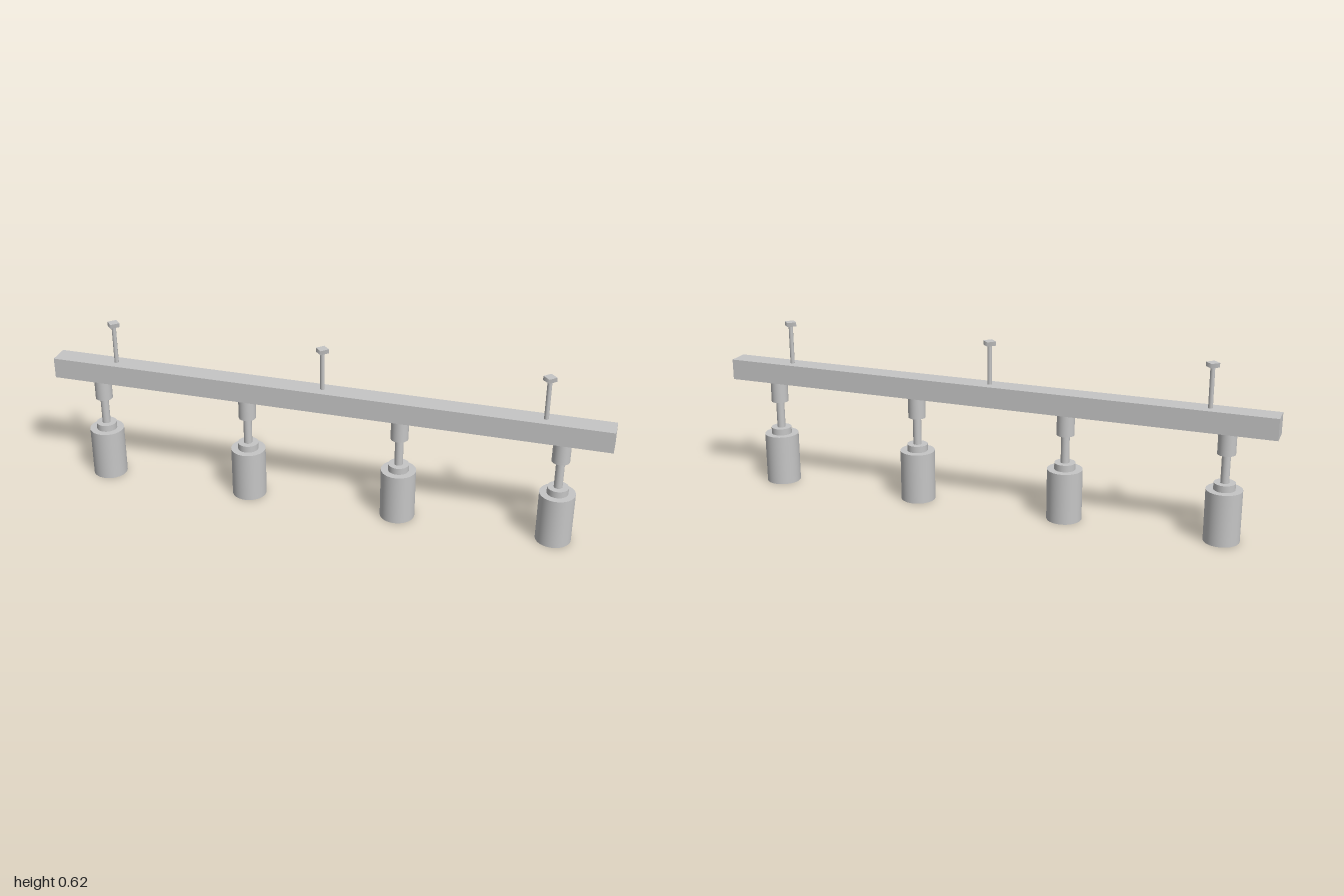
import * as THREE from 'three';

const metal = new THREE.MeshStandardMaterial({ color: 0xc6c6c6 });
metal.name = 'light grey metal';

function add(parent, name, geometry, x = 0, y = 0, z = 0) {
  const mesh = new THREE.Mesh(geometry, metal);
  mesh.name = name;
  mesh.position.set(x, y, z);
  parent.add(mesh);
  return mesh;
}

// Upright cylinder between two heights
function post(parent, name, radius, y0, y1, sides = 32) {
  return add(parent, name, new THREE.CylinderGeometry(radius, radius, y1 - y0, sides), 0, (y0 + y1) / 2);
}

// Solid of revolution; each segment gets its own lathe so the edges stay sharp
function turned(parent, name, points) {
  const group = new THREE.Group();
  group.name = name;
  for (let i = 0; i < points.length - 1; i++) {
    const pair = [points[i], points[i + 1]].map(([r, y]) => new THREE.Vector2(r, y));
    add(group, name + 'Face', new THREE.LatheGeometry(pair, 40));
  }
  parent.add(group);
}

function makeRail() {
  const rail = new THREE.Group();
  rail.name = 'rail';
  const bottom = 0.387, top = 0.462, half = 0.038, slotTop = 0.407;
  // Solid upper body
  add(rail, 'railBody', new THREE.BoxGeometry(2, top - slotTop, half * 2), 0, (top + slotTop) / 2);
  // Lower layer with a long slot in its underside
  const outline = new THREE.Shape([[-1, -half], [1, -half], [1, half], [-1, half]].map(p => new THREE.Vector2(...p)));
  outline.holes.push(new THREE.Path([[-0.93, -0.015], [-0.93, 0.015], [0.93, 0.015], [0.93, -0.015]].map(p => new THREE.Vector2(...p))));
  const lower = new THREE.ExtrudeGeometry(outline, { depth: slotTop - bottom, bevelEnabled: false });
  lower.rotateX(-Math.PI / 2);
  add(rail, 'slottedUnderside', lower, 0, bottom);
  return rail;
}

function makeLamp(x) {
  const lamp = new THREE.Group();
  lamp.name = 'spotLamp';
  lamp.position.x = x;
  post(lamp, 'railConnector', 0.031, 0.31, 0.388);
  post(lamp, 'stem', 0.015, 0.209, 0.31, 20);
  post(lamp, 'collar', 0.037, 0.185, 0.209);
  // Hollow can, open below
  turned(lamp, 'lampShade', [
    [0, 0.178], [0.056, 0.178], [0.056, 0], [0.062, 0], [0.062, 0.185], [0, 0.185],
  ].map(([r, y]) => [r, y]));
  // Bulb and its socket
  add(lamp, 'bulb', new THREE.SphereGeometry(0.034, 24, 16), 0, 0.046);
  post(lamp, 'bulbSocket', 0.02, 0.07, 0.18, 20);
  return lamp;
}

function makeHanger(x) {
  const hanger = new THREE.Group();
  hanger.name = 'ceilingHanger';
  hanger.position.x = x;
  post(hanger, 'hangerRod', 0.008, 0.46, 0.603, 8);
  // Square cap turned corner-on
  post(hanger, 'hangerCap', 0.023, 0.602, 0.617, 4);
  return hanger;
}

export function createModel() {
  const model = new THREE.Group();
  model.name = 'trackLight';
  model.add(makeRail());
  for (const x of [-0.832, -0.278, 0.277, 0.831]) model.add(makeLamp(x));
  for (const x of [-0.77, 0, 0.77]) model.add(makeHanger(x));
  return model;
}
